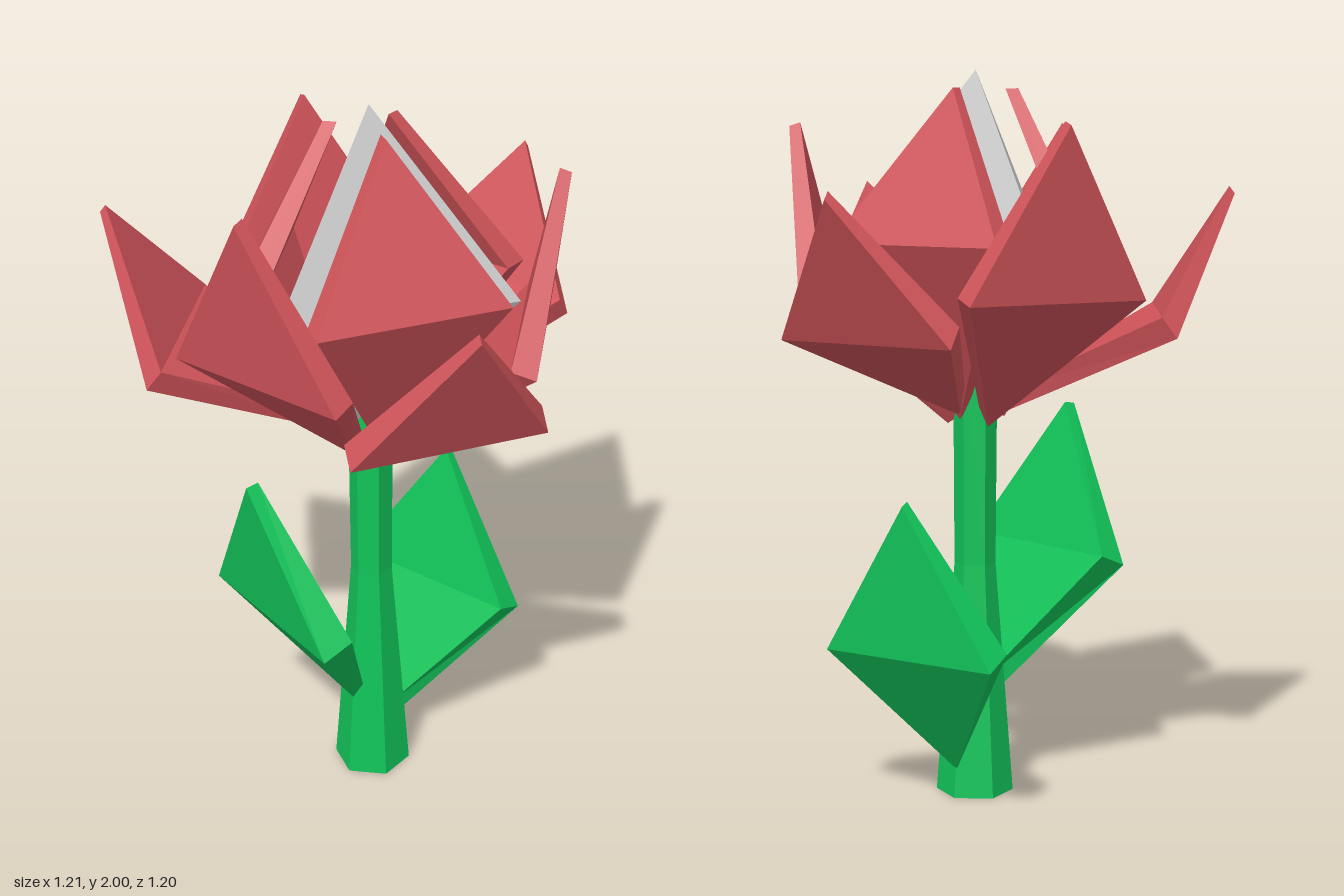
import * as THREE from 'three';

const material = (color) =>
  new THREE.MeshStandardMaterial({ color, flatShading: true, side: THREE.DoubleSide });
const red = material(0xd0545a);
const green = material(0x12c45a);
const grey = material(0xcccccc);

function addMesh(parent, name, geometry, mat) {
  const mesh = new THREE.Mesh(geometry, mat);
  mesh.name = name;
  parent.add(mesh);
  return mesh;
}

// Folded diamond plate; each side lists bottom, right, tip and left corners.
function diamondPlate(outer, inner) {
  const index = [0, 1, 3, 1, 2, 3, 4, 7, 5, 5, 7, 6];
  for (let i = 0; i < 4; i++) {
    const j = (i + 1) % 4;
    index.push(i, i + 4, j + 4, i, j + 4, j);
  }
  const geometry = new THREE.BufferGeometry();
  geometry.setAttribute('position', new THREE.Float32BufferAttribute([...outer, ...inner].flat(), 3));
  geometry.setIndex(index);
  const flat = geometry.toNonIndexed();
  flat.computeVertexNormals();
  return flat;
}

// Symmetric plate from [y, z] of its bottom, fold and tip.
function symmetricPlate(halfWidth, outer, inner) {
  const corners = ([bottom, fold, tip]) => [
    [0, ...bottom], [halfWidth, ...fold], [0, ...tip], [-halfWidth, ...fold],
  ];
  return diamondPlate(corners(outer), corners(inner));
}

// Faceted solid of revolution from [radius, y] points.
const turned = (profile, sides) =>
  new THREE.LatheGeometry(profile.map(([r, y]) => new THREE.Vector2(r, y)), sides);

export function createModel() {
  const model = new THREE.Group();
  model.name = 'flower';

  // Stem and bud share an axis slightly in front of the centre
  const plant = new THREE.Group();
  plant.name = 'bloomAndStem';
  plant.position.z = 0.095;
  model.add(plant);
  addMesh(plant, 'stem', turned([[0, 0], [0.107, 0], [0.057, 0.65], [0.061, 1.27], [0, 1.27]], 6), green);
  addMesh(plant, 'bud', turned([[0, 1.07], [0.39, 1.49], [0, 2]], 3), grey);

  // Three rings of three petals
  const rings = [
    { name: 'innerPetal', start: 60,
      outer: [[1.06, 0.08], [1.54, 0.315], [1.95, 0.115]],
      inner: [[1.09, 0.03], [1.54, 0.245], [1.95, 0.08]] },
    { name: 'middlePetal', start: 0,
      outer: [[1.04, 0.075], [1.4, 0.455], [1.85, 0.505]],
      inner: [[1.07, 0.03], [1.42, 0.39], [1.86, 0.475]] },
    { name: 'outerPetal', start: 60,
      outer: [[1.07, 0.075], [1.3, 0.535], [1.67, 0.7]],
      inner: [[1.12, 0.05], [1.355, 0.495], [1.69, 0.685]] },
  ];
  for (const { name, start, outer, inner } of rings) {
    const geometry = symmetricPlate(0.26, outer, inner);
    for (let i = 0; i < 3; i++) {
      const petal = addMesh(plant, name, geometry, red);
      petal.rotation.y = THREE.MathUtils.degToRad(start + i * 120);
    }
  }

  // Front leaf, turned slightly to one side
  addMesh(model, 'frontLeaf', diamondPlate(
    [[0, 0.25, 0.18], [0.175, 0.63, 0.51], [-0.085, 1.06, 0.5], [-0.32, 0.63, 0.37]],
    [[0.02, 0.29, 0.16], [0.203, 0.665, 0.43], [-0.075, 1.065, 0.465], [-0.295, 0.665, 0.29]],
  ), green);

  // Back leaf
  const backLeaf = addMesh(model, 'backLeaf', symmetricPlate(0.26,
    [[0.08, 0], [0.44, 0.25], [0.86, 0.27]],
    [[0.13, -0.02], [0.475, 0.165], [0.87, 0.245]],
  ), green);
  backLeaf.rotation.y = Math.PI;

  return model;
}
